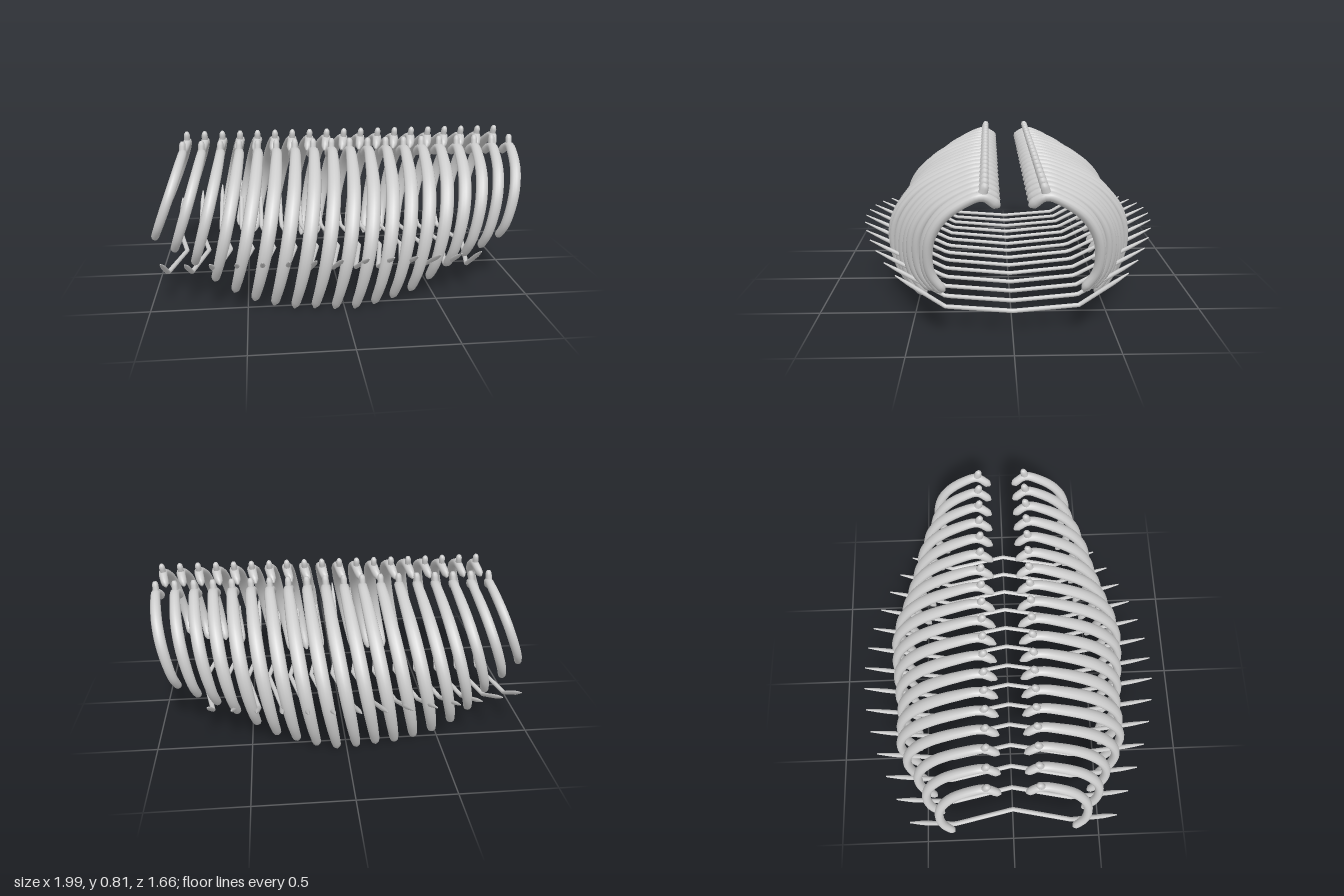
import * as THREE from 'three';

const material = new THREE.MeshStandardMaterial({ color: 0xcccccc });
const V = (x, y, z) => new THREE.Vector3(x, y, z);

// Sweeps an ellipse along a curve; size(t) gives [half width along x, half thickness].
function sweep(curve, segments, sides, size) {
  const centres = [];
  for (let i = 0; i <= segments; i++) centres.push(curve.getPointAt(i / segments));
  const positions = [], index = [];
  for (let i = 0; i <= segments; i++) {
    const tangent = centres[Math.min(i + 1, segments)].clone()
      .sub(centres[Math.max(i - 1, 0)]).normalize();
    const a = V(1, 0, 0).addScaledVector(tangent, -tangent.x).normalize();
    const b = tangent.clone().cross(a);
    const [w, h] = size(i / segments);
    for (let j = 0; j < sides; j++) {
      const angle = (j / sides) * Math.PI * 2;
      const p = centres[i].clone()
        .addScaledVector(a, w * Math.cos(angle))
        .addScaledVector(b, h * Math.sin(angle));
      positions.push(p.x, p.y, p.z);
    }
  }
  for (let i = 0; i < segments; i++) {
    for (let j = 0; j < sides; j++) {
      const p = i * sides + j, q = i * sides + (j + 1) % sides;
      index.push(p, q, p + sides, q, q + sides, p + sides);
    }
  }
  // End caps
  for (const end of [0, segments]) {
    const c = positions.length / 3, base = end * sides;
    positions.push(...centres[end].toArray());
    for (let j = 0; j < sides; j++) {
      const p = base + j, q = base + (j + 1) % sides;
      if (end) index.push(c, p, q); else index.push(c, q, p);
    }
  }
  const geometry = new THREE.BufferGeometry();
  geometry.setAttribute('position', new THREE.Float32BufferAttribute(positions, 3));
  geometry.setIndex(index);
  geometry.computeVertexNormals();
  return geometry;
}

// Rounds both ends of a swept bone
const rounded = (t, reach) =>
  Math.max(0.3, Math.sqrt(Math.min(1, t / reach, (1 - t) / reach)));

function part(name, geometry) {
  const mesh = new THREE.Mesh(geometry, material);
  mesh.name = name;
  return mesh;
}

// Per rib: widest reach in z and height of the lower tip
const REACH = [0.39, 0.46, 0.51, 0.575, 0.615, 0.62, 0.62, 0.635, 0.645, 0.655,
  0.66, 0.64, 0.60, 0.565, 0.53, 0.50, 0.46, 0.415, 0.39];
const TIP = [0.34, 0.29, 0.23, 0.16, 0.11, 0.06, 0.03, 0.015, 0.015, 0.01,
  0.01, 0.02, 0.03, 0.05, 0.10, 0.16, 0.20, 0.23, 0.28];

// Shaft shape as [outward fraction, downward fraction]
const SHAFT = [[0.02, 0], [0.3, 0.05], [0.69, 0.2], [0.92, 0.39], [1, 0.59], [0.955, 0.81]];

function makeRib(i, side) {
  const rib = new THREE.Group();
  rib.name = side > 0 ? 'frontRib' : 'backRib';
  const x = -0.825 + i * 0.1;
  const reach = REACH[i], tip = TIP[i];
  const lean = i < 4 ? 0.155 - i * 0.005 : 0.14 - Math.max(0, i - 6) * 0.0038;
  const big = (reach - 0.39) / 0.27;
  const profile = [...SHAFT, [0.73 + 0.1 * big, 1]];
  const points = [V(x - 0.02, 0.705, side * 0.065)];
  for (const [f, g] of profile) {
    points.push(V(x - lean * Math.pow(g, 1.1), 0.755 - (0.755 - tip) * g,
      side * (0.135 + (reach - 0.135) * f)));
  }
  // Broad in the middle, narrower at the neck and the tip
  const width = 0.026 + 0.01 * Math.min(1, i / 5, (20 - i) / 6);
  const size = (t) => {
    const belly = Math.sin(Math.PI * Math.min(1, 0.08 + t * 0.84));
    const r = rounded(t, 0.03);
    const flare = 0.006 * Math.max(0, 1 - t / 0.1);
    return [(0.018 + (width - 0.018) * belly) * r, (0.02 + 0.004 * belly + flare) * r];
  };
  rib.add(part('ribShaft', sweep(new THREE.CatmullRomCurve3(points), 40, 12, size)));

  // Short upright knob beside the rib head
  const knob = new THREE.LineCurve3(V(x - 0.002, 0.745, side * 0.145), V(x + 0.002, 0.815, side * 0.125));
  rib.add(part('ribKnob', sweep(knob, 8, 10, (t) => {
    const r = t > 0.8 ? Math.sqrt(1 - (t - 0.8) * 3.5) : 1;
    return [0.017 * r, (0.023 - 0.004 * t) * r];
  })));
  return rib;
}

// Thin belly rod: two raised arms joined by a shallow forward-pointing middle
function makeBellyRod(i) {
  const k = i / 13, bulge = Math.sin(Math.PI * k);
  const x = -0.92 + i * 0.1255;
  const reach = 0.57 + 0.26 * Math.pow(bulge, 0.9);
  const tipY = 0.295 + 0.09 * bulge;
  const bendZ = 0.33 + 0.03 * bulge;
  const bendY = 0.15 - 0.02 * k + 0.01 * bulge;
  const points = [
    V(x, tipY, -reach), V(x, bendY, -bendZ), V(x + 0.07, 0.145 - 0.012 * k, 0),
    V(x, bendY, bendZ), V(x, tipY, reach),
  ];
  const curve = new THREE.CatmullRomCurve3(points, false, 'catmullrom', 0);
  return part('bellyRod', sweep(curve, 56, 8, (t) => {
    const r = rounded(t, 0.07);
    return [0.013 * r, 0.011 * r];
  }));
}

export function createModel() {
  const model = new THREE.Group();
  model.name = 'ribCage';
  const ribs = new THREE.Group();
  ribs.name = 'ribs';
  for (let i = 0; i < REACH.length; i++) {
    for (const side of [1, -1]) ribs.add(makeRib(i, side));
  }
  const rods = new THREE.Group();
  rods.name = 'bellyRods';
  for (let i = 0; i < 14; i++) rods.add(makeBellyRod(i));
  model.add(ribs, rods);
  return model;
}
